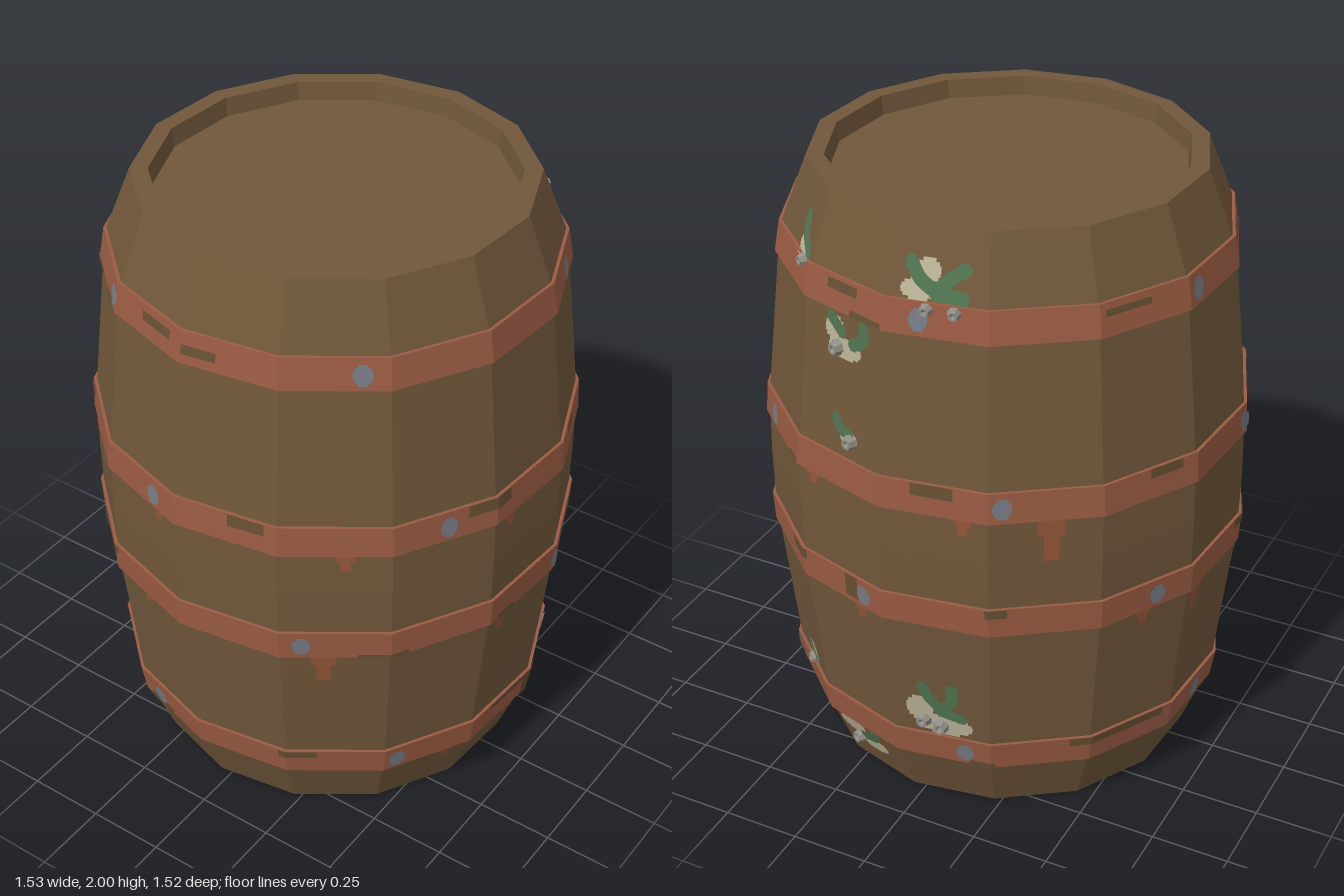
import * as THREE from 'three';

const SIDES = 14, STEP = 360 / SIDES, START = 9, RAD = Math.PI / 180;
const mat = (name, color, side = THREE.FrontSide) => {
  const m = new THREE.MeshStandardMaterial({ color, side });
  m.name = name;
  return m;
};

// Outer stave profile: [height, corner radius]
const PROFILE = [[0, 0.605], [0.2, 0.683], [0.3, 0.7], [0.75, 0.749], [0.85, 0.755], [1, 0.758],
  [1.15, 0.755], [1.25, 0.749], [1.7, 0.7], [1.8, 0.683], [2, 0.605]];
// Hoops: height range, angle of the first of five rivets
const HOOPS = [[0.2, 0.3, 33], [0.75, 0.85, 9], [1.15, 1.25, 43], [1.7, 1.8, 23]];
const PROUD = 0.01;

function radius(y) {
  const i = Math.max(1, PROFILE.findIndex(p => p[0] >= y));
  const [y0, r0] = PROFILE[i - 1], [y1, r1] = PROFILE[i];
  return r0 + (r1 - r0) * (y - y0) / (y1 - y0);
}
const lift = y => (HOOPS.some(h => y >= h[0] && y <= h[1]) ? PROUD : 0);

// Point on the faceted wall at an angle in degrees, a height and an offset
function wall(angle, y, off) {
  const t = (((angle - START) % STEP) + STEP) % STEP - STEP / 2;
  const r = radius(y) * Math.cos(STEP / 2 * RAD) / Math.cos(t * RAD) + off;
  return [r * Math.sin(angle * RAD), y, r * Math.cos(angle * RAD)];
}
// Angle of a wall point on the +x side from its z
const angleAt = (z, y) => Math.acos(z / (radius(y) * 0.985)) / RAD;

const quad = (out, a, b, c, d) => out.push(...a, ...b, ...c, ...a, ...c, ...d);

// Painted rectangle, split where the wall bends
function patch(out, a0, a1, y0, y1, off = 0.003) {
  const as = [a0], ys = [y0];
  for (let k = -20; k < 30; k++) {
    const e = START + k * STEP;
    if (e > a0 && e < a1) as.push(e);
  }
  PROFILE.forEach(p => { if (p[0] > y0 && p[0] < y1) ys.push(p[0]); });
  as.push(a1);
  ys.push(y1);
  for (let j = 1; j < ys.length; j++) {
    const o = off + lift((ys[j - 1] + ys[j]) / 2);
    for (let i = 1; i < as.length; i++) {
      quad(out, wall(as[i - 1], ys[j - 1], o), wall(as[i], ys[j - 1], o),
        wall(as[i], ys[j], o), wall(as[i - 1], ys[j], o));
    }
  }
}

// Painted oval made of rows
function oval(out, angle, y, w, h, off, rows = 7) {
  for (let i = 0; i < rows; i++) {
    const t = (2 * i + 1) / rows - 1;
    const half = w * Math.sqrt(1 - t * t) / radius(y) / RAD;
    patch(out, angle - half, angle + half, y + h * (t - 1 / rows), y + h * (t + 1 / rows), off);
  }
}

// Seaweed ribbon through [z, y] points
function ribbon(out, pts, width = 0.019, n = 8) {
  const curve = new THREE.CatmullRomCurve3(pts.map(p => new THREE.Vector3(-p[0], p[1], 0)));
  const edge = [];
  for (let i = 0; i <= n; i++) {
    const p = curve.getPoint(i / n), d = curve.getTangent(i / n);
    edge.push([1, -1].map(s => {
      const z = -(p.x + s * d.y * width), y = p.y - s * d.x * width;
      return wall(angleAt(z, y), y, 0.007 + lift(y));
    }));
  }
  for (let i = 0; i < n; i++) quad(out, edge[i][0], edge[i + 1][0], edge[i + 1][1], edge[i][1]);
  [pts[0], pts[pts.length - 1]].forEach(([z, y]) => oval(out, angleAt(z, y), y, width, width, 0.007, 5));
}

function flat(geo) {
  const g = geo.index ? geo.toNonIndexed() : geo;
  g.computeVertexNormals();
  return g;
}
function lathe(pts, sides = SIDES, start = START) {
  return flat(new THREE.LatheGeometry(pts.map(p => new THREE.Vector2(p[0], p[1])), sides, start * RAD));
}
function fromTriangles(list) {
  const g = new THREE.BufferGeometry();
  g.setAttribute('position', new THREE.Float32BufferAttribute(list, 3));
  return flat(g);
}

export function createModel() {
  const root = new THREE.Group();
  root.name = 'barrel';
  const wood = mat('brown wood', 0x70573a);
  const rust = mat('rusty iron', 0x9a5b43);
  const steel = mat('rivet steel', 0x757b86, THREE.DoubleSide);
  const crust = mat('pale crust', 0xb9b196, THREE.DoubleSide);
  const green = mat('seaweed green', 0x4f7350, THREE.DoubleSide);
  const shell = mat('shell grey', 0x8f8e86);
  const worn = mat('worn wood', 0x665033, THREE.DoubleSide);
  const add = (name, geo, m) => {
    const mesh = new THREE.Mesh(geo, m);
    mesh.name = name;
    root.add(mesh);
    return mesh;
  };

  // Staves, rim and sunken lid
  add('staves', lathe([[0, 0], ...PROFILE.map(([y, r]) => [r, y]), [0.55, 2], [0.543, 1.94], [0, 1.94]]), wood);

  // Hoops and their rivets
  const rivets = [];
  HOOPS.forEach(([y0, y1, first]) => {
    const a = radius(y0), b = radius(y1);
    add('hoop', lathe([[a - 0.01, y0], [a + PROUD, y0], [b + PROUD, y1], [b - 0.01, y1]]), rust);
    for (let k = 0; k < 5; k++) oval(rivets, first + 72 * k, (y0 + y1) / 2, 0.028, 0.033, 0.005);
  });
  add('rivets', fromTriangles(rivets), steel);

  // Chipped hoop paint: start angle, end angle, bottom, top
  const chips = [];
  [[-24, -12, 1.21, 1.25], [15, 22, 1.22, 1.25], [94, 104, 1.21, 1.25], [150, 159, 1.22, 1.25],
    [-152, -140, 1.22, 1.25], [-80, -71, 1.21, 1.25], [55, 60, 1.15, 1.17],
    [14, 31, 0.825, 0.85], [-14, -8, 0.75, 0.77], [54, 62, 0.815, 0.85], [75, 79, 0.77, 0.85],
    [111, 116, 0.82, 0.85], [-132, -118, 0.82, 0.85], [-175, -166, 0.82, 0.85], [-50, -38, 0.75, 0.765],
    [6, 14, 0.2, 0.3], [-9, 6, 0.28, 0.3], [132, 160, 0.27, 0.3], [-155, -144, 0.27, 0.3],
    [-116, -106, 0.2, 0.23], [-70, -60, 0.27, 0.3], [106, 113, 0.2, 0.22],
    [68, 78, 1.76, 1.79], [76, 86, 1.7, 1.72], [139, 152, 1.76, 1.78], [-108, -97, 1.75, 1.78],
    [-93, -84, 1.73, 1.76], [-128, -122, 1.7, 1.72], [-150, -136, 1.7, 1.715], [-170, -160, 1.77, 1.8],
  ].forEach(c => patch(chips, ...c, 0.003));
  add('hoop chips', fromTriangles(chips), worn);

  // Rust drips: angle, hoop bottom, length, half width in degrees
  const drips = [];
  [[-53, 1.15, 0.06, 1.6], [-11, 1.15, 0.045, 1.5], [14, 1.15, 0.04, 1.3], [65, 1.15, 0.04, 1.5],
    [106, 1.15, 0.055, 1.5], [126, 1.15, 0.14, 2.2], [-145, 1.15, 0.09, 2], [-100, 1.15, 0.04, 1.4],
    [-58, 0.75, 0.11, 2.2], [-12, 0.75, 0.06, 1.6], [58, 0.75, 0.04, 1.3], [79, 0.75, 0.05, 1.5],
    [150, 0.75, 0.05, 1.5], [167, 0.75, 0.1, 2], [-168, 0.75, 0.1, 1.8], [-122, 0.75, 0.11, 1.8],
    [-108, 0.75, 0.04, 1.4], [-23, 0.2, 0.055, 1.5], [55, 0.2, 0.04, 1.4], [-159, 0.2, 0.05, 1.5],
    [-123, 0.2, 0.06, 1.5],
  ].forEach(([a, y, len, w]) => {
    patch(drips, a - w * 1.4, a + w * 1.4, y - len * 0.4, y);
    patch(drips, a - w * 0.8, a + w * 0.8, y - len, y - len * 0.4);
  });
  add('rust drips', fromTriangles(drips), mat('rust drip', 0x945539, THREE.DoubleSide));

  // Sea growth on the left side, placed by z and y
  const crusts = [], weeds = [];
  [[0.39, 1.82, 0.035, 0.025], [-0.07, 1.88, 0.038, 0.035], [-0.05, 1.83, 0.055, 0.03],
    [0.23, 1.64, 0.04, 0.04], [0.19, 1.59, 0.068, 0.032], [0.17, 1.315, 0.035, 0.025],
    [0.45, 0.345, 0.045, 0.035], [-0.04, 0.4, 0.045, 0.05], [-0.12, 0.345, 0.09, 0.04],
    [0.26, 0.165, 0.055, 0.035], [0.19, 0.11, 0.07, 0.032],
  ].forEach(([z, y, w, h]) => oval(crusts, angleAt(z, y), y, w, h, 0.003));
  add('crust patches', fromTriangles(crusts), crust);

  [[[0.385, 1.9], [0.38, 1.85], [0.345, 1.82]], [[-0.02, 1.9], [-0.05, 1.86], [-0.1, 1.83]],
    [[-0.175, 1.895], [-0.14, 1.87], [-0.1, 1.83]], [[-0.1, 1.825], [-0.18, 1.82]],
    [[0.24, 1.675], [0.2, 1.64]], [[0.115, 1.68], [0.115, 1.64], [0.155, 1.615]],
    [[0.215, 1.365], [0.2, 1.34], [0.165, 1.33]], [[0.46, 0.375], [0.42, 0.34]],
    [[-0.055, 0.495], [-0.075, 0.45], [-0.11, 0.41]], [[-0.15, 0.5], [-0.145, 0.45], [-0.11, 0.41]],
    [[-0.11, 0.4], [-0.175, 0.385]], [[0.16, 0.185], [0.17, 0.15], [0.21, 0.14]],
  ].forEach(p => ribbon(weeds, p));
  add('seaweed', fromTriangles(weeds), green);

  // Hollow little shells
  const shellGeo = lathe([[0.027, -0.004], [0.018, 0.022], [0.011, 0.022], [0, 0.01]], 7, 0);
  const up = new THREE.Vector3(0, 1, 0);
  [[0.36, 1.795, 0.8], [-0.08, 1.78, 0.8], [-0.16, 1.78, 0.8], [0.22, 1.585, 1], [0.16, 1.31, 1],
    [0.44, 0.325, 0.9], [-0.05, 0.355, 1], [-0.105, 0.34, 1.05], [0.24, 0.115, 1],
  ].forEach(([z, y, s]) => {
    const a = angleAt(z, y), mesh = add('shell', shellGeo, shell);
    mesh.position.set(...wall(a, y, 0.003 + lift(y)));
    mesh.quaternion.setFromUnitVectors(up, new THREE.Vector3(Math.sin(a * RAD), 0, Math.cos(a * RAD)));
    mesh.scale.setScalar(s);
  });
  return root;
}
